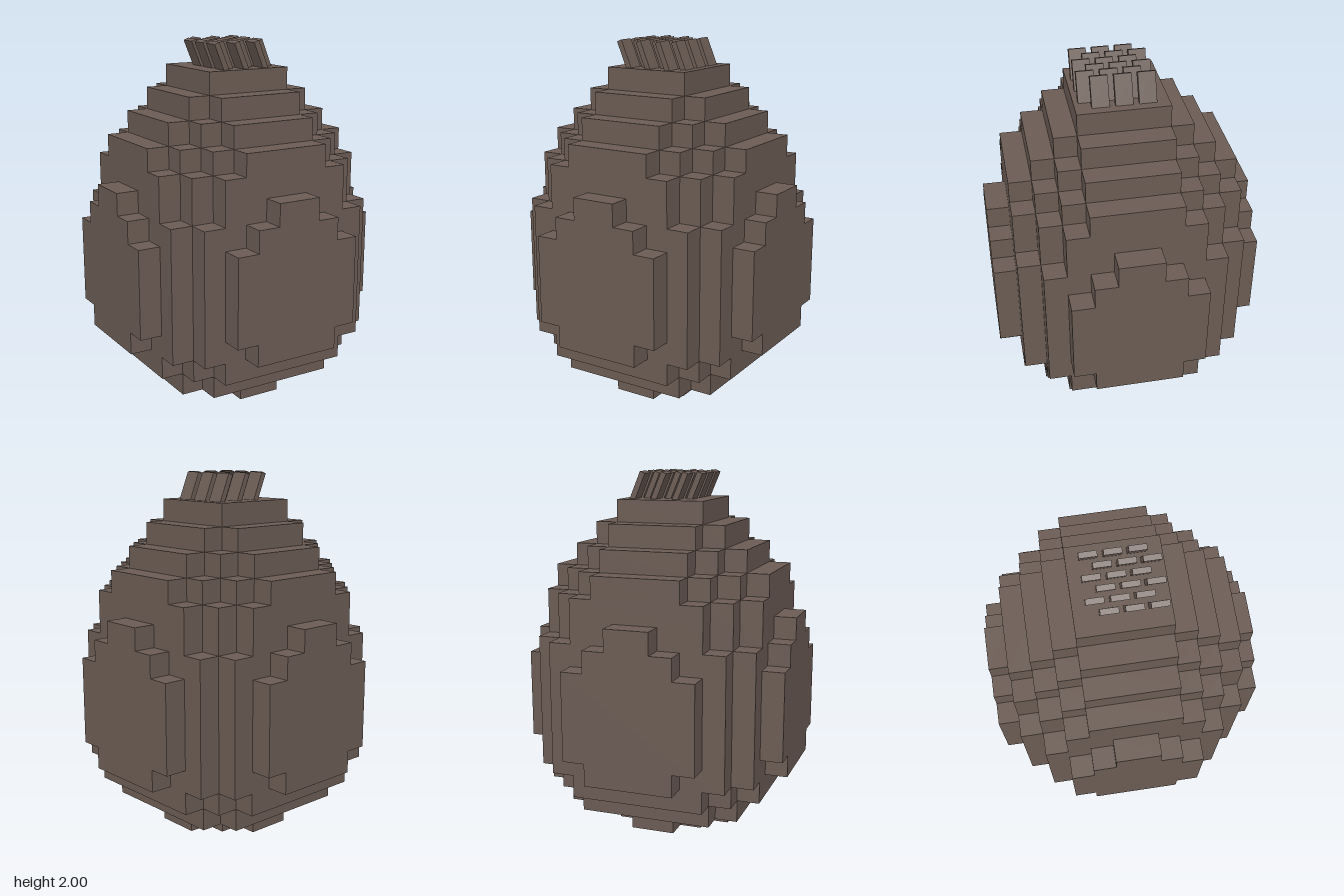
import * as THREE from 'three';

const U = 1.85 / 15; // size of one voxel

// Each slab: height in voxels, then the half-width of each row outward from the centre
const SLABS = [
  [1, [3, 2, 1]],
  [1, [4, 4, 4, 3]],
  [1, [5, 5, 5, 4, 3]],
  [1, [6, 6, 5, 5, 4, 2]],
  [4, [6, 6, 6, 5, 4, 3]],
  [1, [6, 6, 5, 5, 4, 2]],
  [1, [6, 5, 5, 4, 3, 1]],
  [1, [5, 5, 5, 4, 3]],
  [1, [5, 5, 4, 3, 2]],
  [1, [4, 4, 3, 2]],
  [1, [3, 3, 2]],
  [1, [2, 2]],
];

// Stepped outline: one quadrant, turned four times
function slabShape(rows) {
  let corner = [];
  rows.forEach((w, r) => {
    if (r > 0 && rows[r - 1] !== w) corner.push([w, r]);
    if (rows[r + 1] !== w) corner.push([w, r + 1]);
  });
  const points = [];
  for (let q = 0; q < 4; q++) {
    points.push(...corner.map(([x, y]) => new THREE.Vector2(x * U, y * U)));
    corner = corner.map(([x, y]) => [-y, x]);
  }
  return new THREE.Shape(points);
}

export function createModel() {
  const model = new THREE.Group();
  model.name = 'voxelEgg';
  const brown = new THREE.MeshStandardMaterial({ color: 0x6b5c54 });
  brown.name = 'dull brown';

  // Egg body, stacked from the ground up
  const body = new THREE.Group();
  body.name = 'eggBody';
  let level = 0;
  SLABS.forEach(([height, rows], i) => {
    const geometry = new THREE.ExtrudeGeometry(slabShape(rows), { depth: height * U, bevelEnabled: false });
    geometry.rotateX(-Math.PI / 2);
    const slab = new THREE.Mesh(geometry, brown);
    slab.name = `eggSlab${i + 1}`;
    slab.position.y = level * U;
    body.add(slab);
    level += height;
  });
  model.add(body);

  // Tuft of leaning blades in staggered rows on the crown
  const tuft = new THREE.Group();
  tuft.name = 'tuft';
  const tilt = Math.PI / 8, length = 0.17;
  const blade = new THREE.BoxGeometry(U / 4, length, U * 0.75);
  for (let i = 0; i < 6; i++) {
    for (let k = 0; k < 3; k++) {
      const mesh = new THREE.Mesh(blade, brown);
      mesh.name = 'tuftBlade';
      mesh.rotation.z = tilt;
      mesh.position.set(
        -0.186 + i * U / 2 + Math.sin(tilt) * length / 2,
        1.994 - Math.cos(tilt) * length / 2,
        (i % 2 ? -0.133 : -0.071) + k * U,
      );
      tuft.add(mesh);
    }
  }
  model.add(tuft);
  return model;
}
